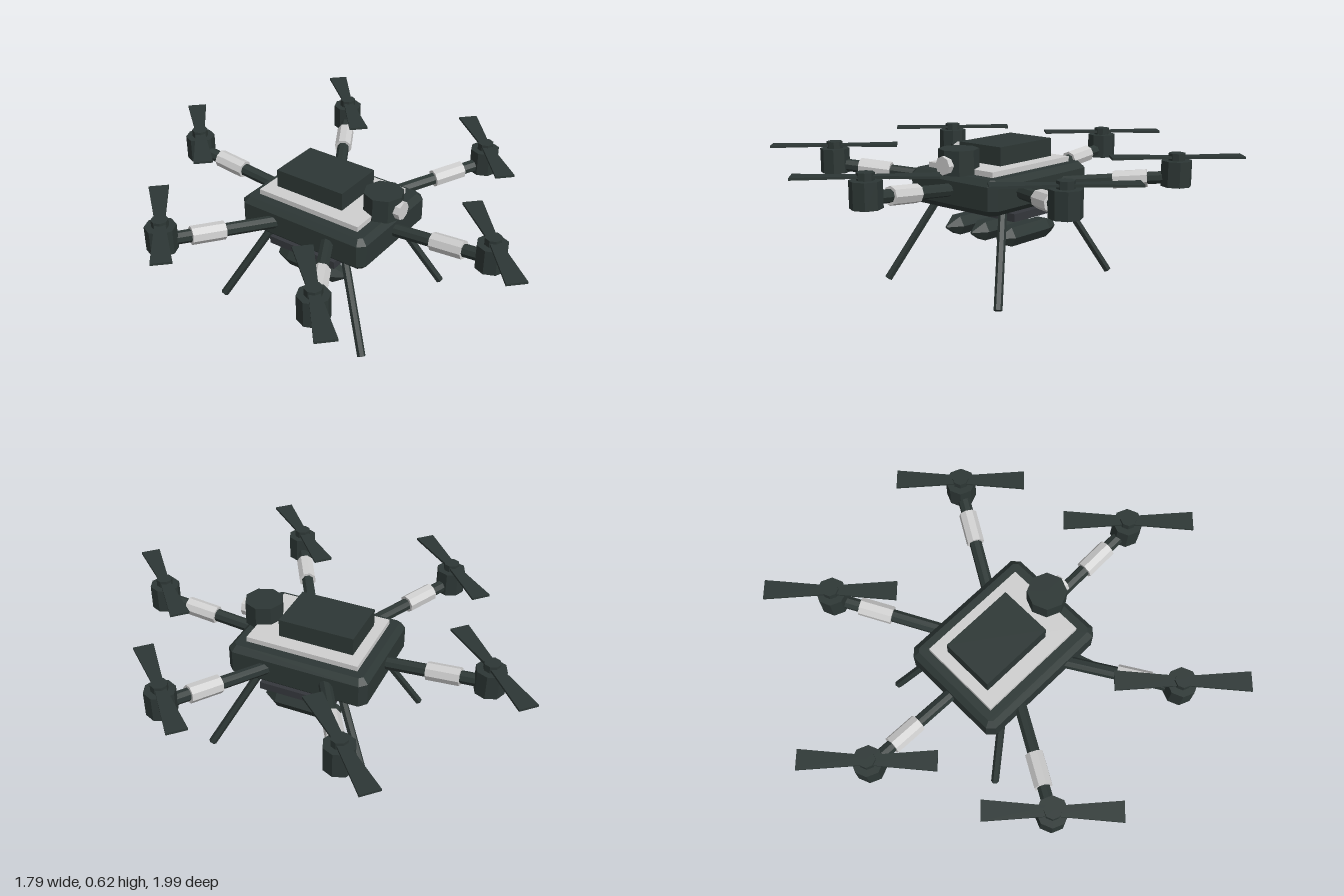
import * as THREE from 'three';

const material = (name, color) => {
  const m = new THREE.MeshStandardMaterial({ color });
  m.name = name;
  return m;
};

export function createModel() {
  const model = new THREE.Group();
  model.name = 'hexacopter';
  const dark = material('dark shell', 0x2d3735);
  const light = material('light grey', 0xcfcfcf);
  const slate = material('slate tray', 0x34373c);

  // Faceted mesh helper
  const add = (parent, name, geometry, mat, x = 0, y = 0, z = 0) => {
    const flat = geometry.index ? geometry.toNonIndexed() : geometry;
    flat.computeVertexNormals();
    const mesh = new THREE.Mesh(flat, mat);
    mesh.name = name;
    mesh.position.set(x, y, z);
    parent.add(mesh);
    return mesh;
  };

  // Straight rod between two points
  const rod = (parent, name, a, b, radius, sides, mat) => {
    const dir = b.clone().sub(a);
    const mid = a.clone().add(b).multiplyScalar(0.5);
    const mesh = add(parent, name, new THREE.CylinderGeometry(radius, radius, dir.length(), sides), mat, mid.x, mid.y, mid.z);
    mesh.quaternion.setFromUnitVectors(new THREE.Vector3(0, 1, 0), dir.normalize());
    return mesh;
  };

  // Box standing on y = 0 with every edge chamfered
  const chamferedBox = (w, h, d, c) => {
    const x = w / 2 - c, z = d / 2 - c, k = c * 0.6;
    const shape = new THREE.Shape([
      [x - k, -z], [x, -z + k], [x, z - k], [x - k, z],
      [-x + k, z], [-x, z - k], [-x, -z + k], [-x + k, -z],
    ].map(p => new THREE.Vector2(...p)));
    return new THREE.ExtrudeGeometry(shape, {
      depth: h - 2 * c, bevelEnabled: true, bevelSize: c, bevelThickness: c, bevelSegments: 1,
    }).rotateX(-Math.PI / 2).translate(0, c, 0);
  };

  // Body, deck and battery
  add(model, 'body', chamferedBox(0.5, 0.15, 0.64, 0.025), dark, 0, 0.363, 0);
  add(model, 'deckPlate', new THREE.BoxGeometry(0.37, 0.026, 0.51), light, 0, 0.523, -0.003);
  add(model, 'battery', new THREE.BoxGeometry(0.24, 0.082, 0.34), dark, 0, 0.576, -0.041);

  // Camera turret with a light lens facing forward
  add(model, 'cameraTurret', new THREE.CylinderGeometry(0.086, 0.086, 0.105, 8), dark, 0, 0.564, 0.257);
  add(model, 'cameraLens', new THREE.CylinderGeometry(0.04, 0.04, 0.04, 8).rotateX(Math.PI / 2), light, 0, 0.555, 0.335);

  // Bow-tie propeller outline, shared by all rotors
  const L = 0.283, tip = 0.043, root = 0.02;
  const bladeShape = new THREE.Shape([
    [-L, -tip], [0, -root], [L, -tip], [L, tip], [0, root], [-L, tip],
  ].map(p => new THREE.Vector2(...p)));

  // Six arms, each with sleeve, motor and propeller
  const armY = r => 0.445 + (r - 0.29) * 0.09;
  for (let i = 0; i < 6; i++) {
    const angle = i * Math.PI / 3;
    const at = r => new THREE.Vector3(Math.sin(angle) * r, armY(r), Math.cos(angle) * r);
    const arm = new THREE.Group();
    arm.name = 'arm' + (i + 1);
    model.add(arm);
    rod(arm, 'armTube', at(0.18), at(0.75), 0.028, 8, dark);
    rod(arm, 'armSleeve', at(0.5), at(0.645), 0.04, 8, light);
    const { x, z } = at(0.766);
    add(arm, 'motor', new THREE.CylinderGeometry(0.066, 0.066, 0.11, 8), dark, x, 0.504, z);
    add(arm, 'propellerHub', new THREE.CylinderGeometry(0.036, 0.036, 0.032, 8), dark, x, 0.574, z);
    const blade = new THREE.ExtrudeGeometry(bladeShape, { depth: 0.01, bevelEnabled: false })
      .rotateX(-Math.PI / 2).rotateY(Math.PI / 4);
    add(arm, 'propeller', blade, dark, x, 0.568, z);
  }

  // Splayed landing legs
  for (const sx of [-1, 1]) for (const sz of [-1, 1]) {
    rod(model, 'landingLeg', new THREE.Vector3(sx * 0.18, 0.39, sz * 0.18),
      new THREE.Vector3(sx * 0.327, 0.009, sz * 0.377), 0.018, 6, dark);
  }

  // Tray and three hexagonal payload canisters
  add(model, 'payloadTray', new THREE.BoxGeometry(0.47, 0.034, 0.34), slate, 0, 0.337, 0);
  const profile = [[0, -0.17], [0.027, -0.17], [0.048, -0.11], [0.048, 0.12], [0.006, 0.183], [0, 0.183]]
    .map(p => new THREE.Vector2(...p));
  for (const x of [-0.152, 0, 0.152]) {
    const canister = new THREE.LatheGeometry(profile, 6).rotateY(Math.PI / 6).rotateX(Math.PI / 2);
    add(model, 'payloadCanister', canister, dark, x, 0.235, 0);
  }

  return model;
}
